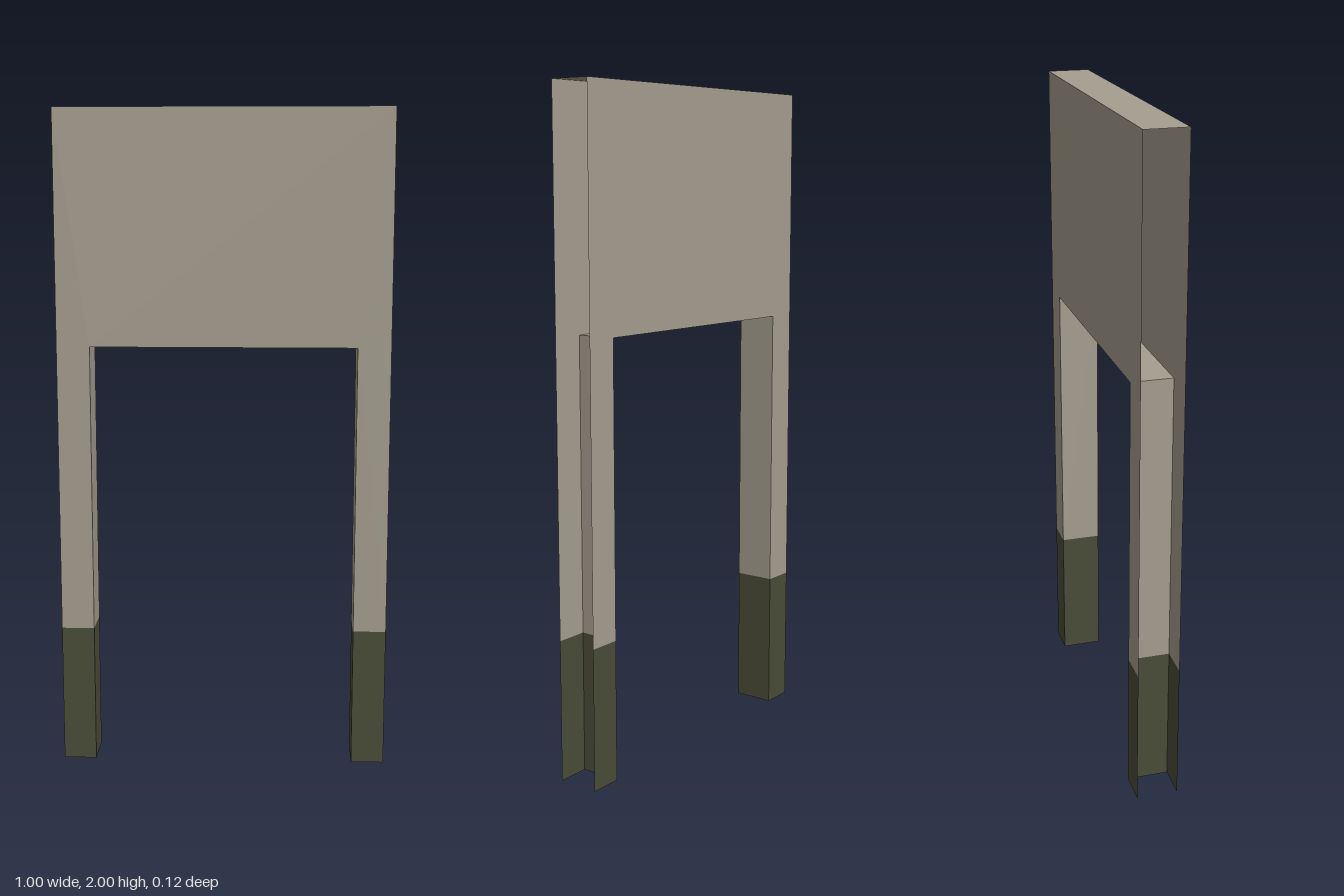
import * as THREE from 'three';

const HALF_W = 0.5, INNER = 0.4, HALF_D = 0.0625;
const TOP = 2, CROTCH = 1.3, CUFF = 0.425;

export function createModel() {
  const group = new THREE.Group();
  const cloth = new THREE.MeshStandardMaterial({ color: 0xa59e8f, side: THREE.DoubleSide });
  cloth.name = 'beige';
  const cuff = new THREE.MeshStandardMaterial({ color: 0x4a4c38, side: THREE.DoubleSide });
  cuff.name = 'dark olive';

  const add = (name, geometry, material, x, y, z, rx = 0, ry = 0) => {
    const mesh = new THREE.Mesh(geometry, material);
    mesh.name = name;
    mesh.position.set(x, y, z);
    mesh.rotation.set(rx, ry, 0);
    group.add(mesh);
  };

  // Arch outline above the dark leg ends
  const arch = new THREE.Shape([
    [-HALF_W, CUFF], [-INNER, CUFF], [-INNER, CROTCH], [INNER, CROTCH],
    [INNER, CUFF], [HALF_W, CUFF], [HALF_W, TOP], [-HALF_W, TOP],
  ].map(([x, y]) => new THREE.Vector2(x, y)));
  const archGeometry = new THREE.ShapeGeometry(arch);
  const legW = HALF_W - INNER, legX = (HALF_W + INNER) / 2;

  // Front and back sheets with their leg ends
  for (const [side, s] of [['front', 1], ['back', -1]]) {
    const turn = s > 0 ? 0 : Math.PI;
    add(side + 'Panel', archGeometry, cloth, 0, 0, s * HALF_D, 0, turn);
    for (const [leg, m] of [['Left', 1], ['Right', -1]]) {
      add(side + leg + 'LegEnd', new THREE.PlaneGeometry(legW, CUFF), cuff,
        m * legX, CUFF / 2, s * HALF_D, 0, turn);
    }
  }

  // Inner leg faces; the outer sides and leg bottoms stay open
  for (const [leg, m] of [['left', 1], ['right', -1]]) {
    const turn = -m * Math.PI / 2;
    add(leg + 'InnerLeg', new THREE.PlaneGeometry(2 * HALF_D, CROTCH - CUFF), cloth,
      m * INNER, (CROTCH + CUFF) / 2, 0, 0, turn);
    add(leg + 'InnerLegEnd', new THREE.PlaneGeometry(2 * HALF_D, CUFF), cuff,
      m * INNER, CUFF / 2, 0, 0, turn);
  }

  // Top face and underside of the crosspiece
  add('topFace', new THREE.PlaneGeometry(2 * HALF_W, 2 * HALF_D), cloth, 0, TOP, 0, -Math.PI / 2);
  add('archUnderside', new THREE.PlaneGeometry(2 * INNER, 2 * HALF_D), cloth, 0, CROTCH, 0, Math.PI / 2);

  return group;
}
